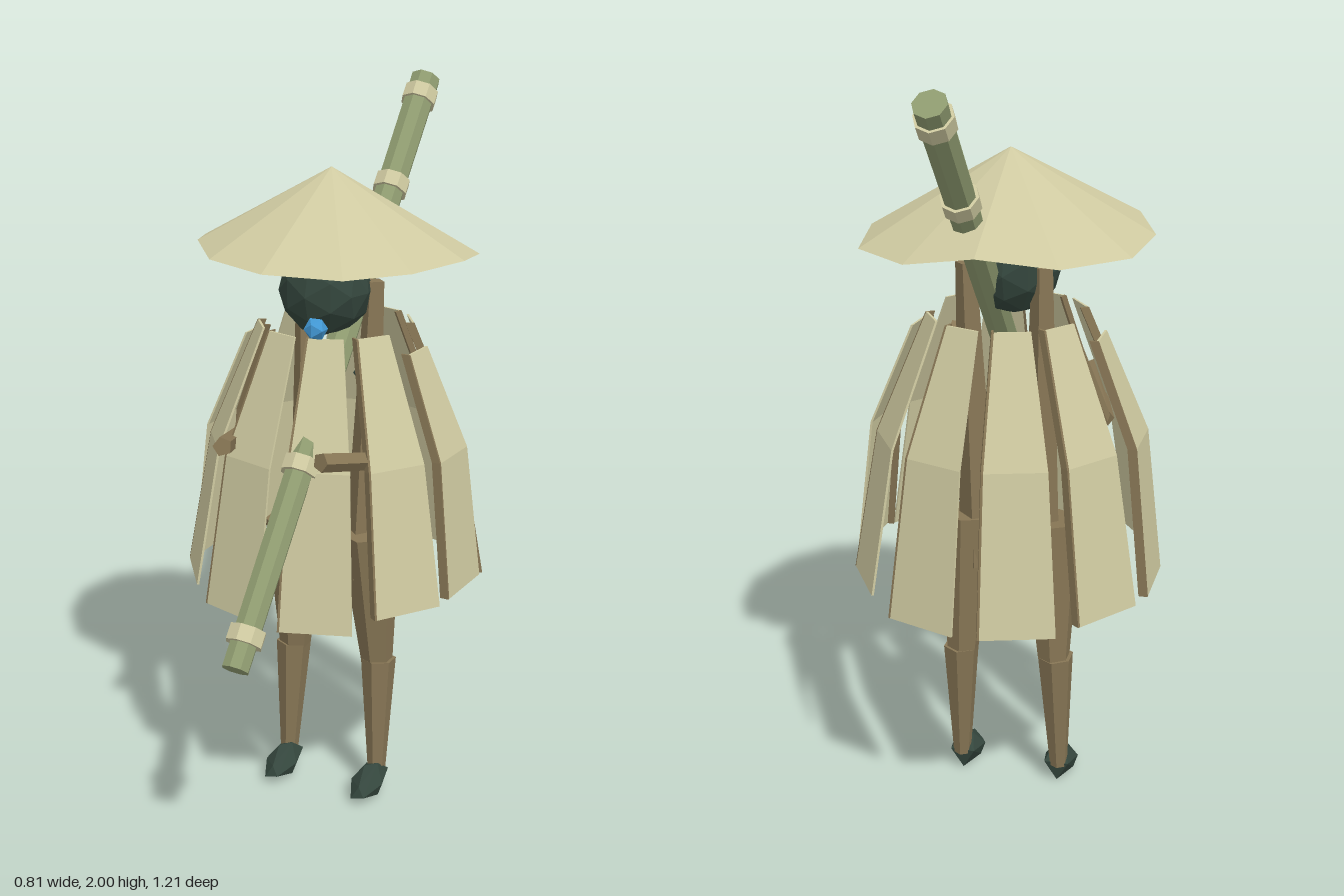
import * as THREE from 'three';
import { ConvexGeometry } from 'three/addons/geometries/ConvexGeometry.js';

function makeMaterial(name, color) {
  const m = new THREE.MeshStandardMaterial({ color, flatShading: true });
  m.name = name;
  return m;
}

// Closed skin over equal-length rings, listed bottom to top, counter-clockwise from above
function loft(rings) {
  const n = rings[0].length, index = [];
  for (let i = 0; i < rings.length - 1; i++) {
    for (let j = 0; j < n; j++) {
      const a = i * n + j, b = i * n + (j + 1) % n;
      index.push(a, b, b + n, a, b + n, a + n);
    }
  }
  const top = (rings.length - 1) * n;
  for (let j = 1; j < n - 1; j++) index.push(0, j + 1, j, top, top + j, top + j + 1);
  const g = new THREE.BufferGeometry();
  g.setAttribute('position', new THREE.Float32BufferAttribute(rings.flat(2), 3));
  g.setIndex(index);
  g.computeVertexNormals();
  return g;
}

// Curved tapering sheet facing +z; rows are [y, radius, half width]
function slat(rows) {
  return loft(rows.map(([y, r, w]) => [[-w, y, r], [w, y, r], [w, y, r - 0.006], [-w, y, r - 0.006]]));
}

// Narrow turned-in hem along the -x edge of a slat
function hem(rows) {
  return loft(rows.map(([y, r, w]) => {
    const a = -w - 0.006, b = -w, back = r - 0.024;
    return [[a, y, r], [b, y, r], [b, y, back], [a, y, back]];
  }));
}

// Tapered prism between two points
function limb(a, b, ra, rb, sides) {
  const p = new THREE.Vector3(...a), q = new THREE.Vector3(...b);
  const d = q.clone().sub(p);
  const g = new THREE.CylinderGeometry(rb, ra, d.length(), sides);
  g.applyQuaternion(new THREE.Quaternion().setFromUnitVectors(new THREE.Vector3(0, 1, 0), d.normalize()));
  const mid = p.add(q).multiplyScalar(0.5);
  return g.translate(mid.x, mid.y, mid.z);
}

export function createModel() {
  const model = new THREE.Group();
  model.name = 'strawHatWanderer';
  const straw = makeMaterial('straw', 0xcec9a0);
  const brown = makeMaterial('brownCloth', 0x877655);
  const dark = makeMaterial('darkGreen', 0x34463d);
  const bamboo = makeMaterial('bamboo', 0x8f9b70);
  const blue = makeMaterial('blueGem', 0x4298d4);

  function add(name, geometry, material, parent = model) {
    const mesh = new THREE.Mesh(geometry, material);
    mesh.name = name;
    parent.add(mesh);
    return mesh;
  }

  // Hat: slightly uneven cone with a closed underside; rim listed counter-clockwise from above
  const rim = [
    [0, 1.59, 0.325], [0.19, 1.58, 0.265], [0.31, 1.58, 0.12], [0.37, 1.58, -0.08],
    [0.34, 1.56, -0.27], [0.185, 1.558, -0.39], [0, 1.588, -0.412], [-0.2, 1.568, -0.385],
    [-0.35, 1.576, -0.26], [-0.372, 1.59, -0.06], [-0.3, 1.61, 0.11], [-0.18, 1.598, 0.26],
  ];
  const hatIndex = [];
  for (let i = 0; i < 12; i++) {
    const j = (i + 1) % 12;
    hatIndex.push(i, j, 12, j, i, 13);
  }
  const hat = new THREE.BufferGeometry();
  hat.setAttribute('position', new THREE.Float32BufferAttribute([...rim.flat(), 0, 1.795, -0.07, 0, 1.585, -0.07], 3));
  hat.setIndex(hatIndex);
  hat.computeVertexNormals();
  add('hat', hat, straw);

  // Head and gem
  const head = add('head', new THREE.IcosahedronGeometry(0.124, 1), dark);
  head.position.set(0, 1.48, -0.035);
  const gem = add('gem', new THREE.IcosahedronGeometry(0.032, 0), blue);
  gem.position.set(0.035, 1.405, 0.095);

  // Body: two cloth columns hanging from the shoulders, with dark ties between them
  add('leftBodyCloth', limb([0.085, 0.66, -0.09], [0.112, 1.5, -0.1], 0.055, 0.028, 4), brown);
  add('rightBodyCloth', limb([-0.085, 0.66, -0.09], [-0.09, 1.5, -0.1], 0.055, 0.028, 4), brown);
  for (const y of [0.82, 1.25]) {
    add('tie', new THREE.IcosahedronGeometry(0.026, 0), dark).position.set(0.01, y, 0.01);
  }

  // Cape: ten thin straw slats with brown hems
  const cape = new THREE.Group();
  cape.name = 'cape';
  cape.position.z = -0.1;
  model.add(cape);
  const angles = [18, 54, 86, 122, 161, 198, 234, 270, 306, 342];
  const bottoms = [0.64, 0.68, 0.69, 0.67, 0.64, 0.64, 0.66, 0.66, 0.68, 0.65];
  angles.forEach((angle, i) => {
    const atSide = i === 2 || i === 7;
    const rows = [[bottoms[i], 0.402, 0.096], [1.06, atSide ? 0.36 : 0.335, 0.08]];
    rows.push(atSide ? [1.33, 0.25, 0.05] : [1.38, 0.205, 0.046]);
    const panel = new THREE.Group();
    panel.name = 'capePanel' + (i + 1);
    panel.rotation.y = angle * Math.PI / 180;
    cape.add(panel);
    add('slat', slat(rows), straw, panel);
    add('hem', hem(rows), brown, panel);
  });

  // Legs, feet and arms, mirrored
  for (const s of [-1, 1]) {
    const side = s > 0 ? 'left' : 'right';
    add(side + 'Thigh', limb([s * 0.13, 0.4, -0.105], [s * 0.115, 0.8, -0.08], 0.045, 0.085, 6), brown);
    add(side + 'Shin', limb([s * 0.142, 0.05, -0.085], [s * 0.135, 0.405, -0.105], 0.025, 0.05, 6), brown);

    const foot = [
      [-0.02, 0.02, 0.042], [0.02, 0.03, 0.042], [0, 0.055, 0.03],
      [-0.046, 0.045, -0.02], [0.046, 0.045, -0.03], [-0.015, 0.085, -0.04], [0.018, 0.092, -0.06],
      [-0.035, 0.012, -0.03], [0.033, 0.008, -0.03],
      [-0.034, 0.06, -0.1], [0.034, 0.06, -0.1], [0, 0, -0.09],
    ].map(([x, y, z]) => new THREE.Vector3(s * 0.138 + x, y, z));
    add(side + 'Foot', new ConvexGeometry(foot), dark);

    add(side + 'Shoulder', new THREE.IcosahedronGeometry(0.03, 0), dark).position.set(s * 0.135, 1.28, 0.01);
    add(side + 'UpperArm', limb([s * 0.14, 1.31, -0.06], [s * 0.225, 1.06, 0.02], 0.035, 0.028, 5), brown);
    add(side + 'Forearm', limb([s * 0.235, 1.06, 0.03], [s * 0.14, 1.118, 0.285], 0.024, 0.026, 5), brown);
  }

  // Bamboo pole across the back, with raised nodes
  const low = [0.05, 0.655, 0.58], high = [0.05, 1.972, -0.575];
  const along = t => low.map((v, k) => v + (high[k] - v) * t);
  const pole = new THREE.Group();
  pole.name = 'bambooPole';
  model.add(pole);
  add('poleShaft', limb(low, high, 0.036, 0.042, 8), bamboo, pole);
  for (const t of [0.05, 0.315, 0.8, 0.965]) {
    add('poleNode', limb(along(t - 0.012), along(t + 0.012), 0.049, 0.049, 8), straw, pole);
  }

  return model;
}
